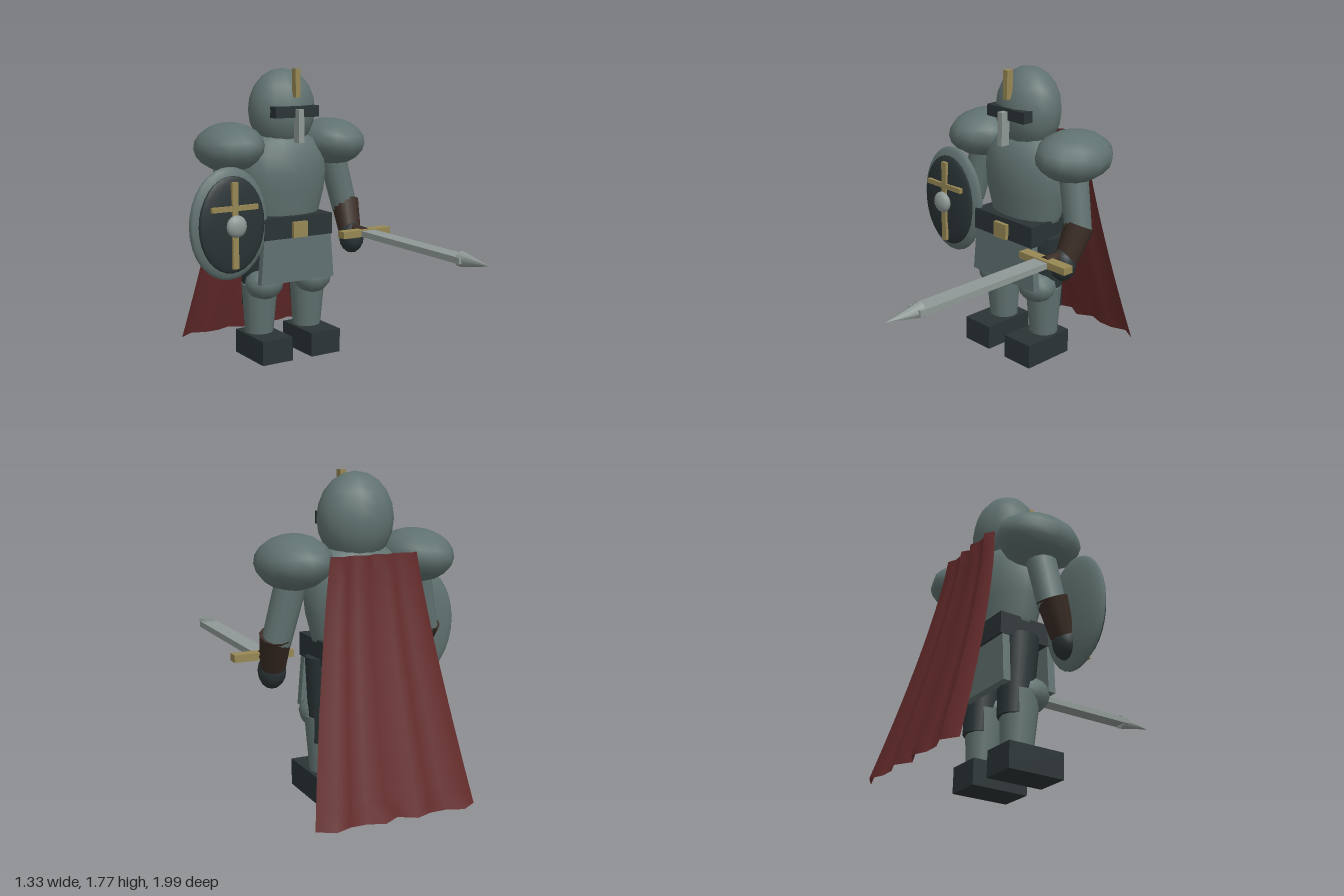
import * as THREE from 'three';

const CX = 0.057; // body centre line
const CZ = -0.435; // body centre depth

const mat = (color, side = THREE.FrontSide) => new THREE.MeshStandardMaterial({ color, side });
const steel = mat(0x607270), dark = mat(0x2a3335), gold = mat(0x978754);
const leather = mat(0x3a2c25), blade = mat(0x8f9996), cloth = mat(0x652b2b, THREE.DoubleSide);

export function createModel() {
  const root = new THREE.Group();
  root.name = 'knight';

  const add = (parent, name, geo, material, x = 0, y = 0, z = 0) => {
    const m = new THREE.Mesh(geo, material);
    m.name = name;
    m.position.set(x, y, z);
    parent.add(m);
    return m;
  };
  const box = (w, h, d) => new THREE.BoxGeometry(w, h, d);
  const ball = (rx, ry, rz, ws = 14, hs = 10) => new THREE.SphereGeometry(1, ws, hs).scale(rx, ry, rz);
  // tapered limb between two points
  const limb = (parent, name, a, b, ra, rb, material, sides = 12) => {
    const p = new THREE.Vector3(...a), q = new THREE.Vector3(...b);
    const dir = p.clone().sub(q);
    const mid = p.clone().add(q).multiplyScalar(0.5);
    const m = add(parent, name, new THREE.CylinderGeometry(ra, rb, dir.length(), sides), material, mid.x, mid.y, mid.z);
    m.quaternion.setFromUnitVectors(new THREE.Vector3(0, 1, 0), dir.normalize());
    return m;
  };

  // helmet
  const helmet = new THREE.Group();
  helmet.name = 'helmet';
  root.add(helmet);
  add(helmet, 'helmetDome', ball(0.213, 0.25, 0.18), steel, CX, 1.525, CZ);
  add(helmet, 'visorSlit', box(0.3, 0.068, 0.07), dark, CX, 1.52, -0.28);
  add(helmet, 'noseGuard', box(0.036, 0.2, 0.06), blade, CX, 1.437, -0.232);
  add(helmet, 'crest', box(0.034, 0.17, 0.045), gold, CX, 1.69, -0.263);

  // breastplate
  const profile = [[0, 0.8], [0.23, 0.8], [0.25, 0.9], [0.285, 1.03], [0.298, 1.15], [0.28, 1.26],
    [0.22, 1.34], [0.13, 1.39], [0, 1.4]].map(([r, y]) => new THREE.Vector2(r, y));
  add(root, 'breastplate', new THREE.LatheGeometry(profile, 18).scale(1, 1, 0.645), steel, CX, 0, CZ);

  // belt and buckle
  add(root, 'belt', box(0.482, 0.13, 0.36), dark, CX, 0.825, -0.415);
  add(root, 'buckle', box(0.1, 0.095, 0.04), gold, CX, 0.812, -0.23);

  // skirt plates, slightly wider at the hem
  const plate = new THREE.Shape([[-0.26, 0.485], [0.26, 0.485], [0.237, 0.765], [-0.237, 0.765]]
    .map(([x, y]) => new THREE.Vector2(x, y)));
  const plateGeo = new THREE.ExtrudeGeometry(plate, { depth: 0.045, bevelEnabled: false });
  add(root, 'frontSkirtPlate', plateGeo, steel, CX, 0, -0.29);
  add(root, 'backSkirtPlate', plateGeo, steel, CX, 0, -0.58);

  for (const s of [1, -1]) {
    const side = s > 0 ? 'left' : 'right';
    const X = (d) => CX + s * d;

    // leg
    const leg = new THREE.Group();
    leg.name = side + 'Leg';
    root.add(leg);
    limb(leg, 'thigh', [X(0.174), 0.79, -0.43], [X(0.174), 0.32, -0.45], 0.112, 0.095, dark);
    add(leg, 'kneeGuard', ball(0.122, 0.1, 0.112, 12, 8), steel, X(0.174), 0.468, -0.363);
    limb(leg, 'shin', [X(0.174), 0.46, -0.42], [X(0.174), 0.14, -0.43], 0.113, 0.088, steel);
    add(leg, 'boot', box(0.21, 0.15, 0.345), dark, X(0.174), 0.075, -0.372);

    // arm
    const arm = new THREE.Group();
    arm.name = side + 'Arm';
    root.add(arm);
    const shoulder = add(arm, 'shoulderGuard', ball(0.203, 0.147, 0.253, 12, 10), steel, X(0.363), 1.313, -0.442);
    shoulder.rotation.z = -s * 0.08;
    limb(arm, 'upperArm', [X(0.35), 1.3, -0.44], [X(0.45), 0.88, -0.405], 0.088, 0.08, steel);
    limb(arm, 'bracer', [X(0.453), 0.925, -0.41], [X(0.437), 0.735, -0.325], 0.088, 0.07, leather);
    add(arm, 'hand', ball(0.079, 0.1, 0.078, 12, 8), dark, X(0.433), 0.705, -0.3);
  }

  // sword, pointing forward
  const sword = new THREE.Group();
  sword.name = 'sword';
  sword.position.set(0.487, 0.76, 0);
  root.add(sword);
  limb(sword, 'grip', [0, 0, -0.15], [0, 0, -0.36], 0.034, 0.034, leather, 8);
  add(sword, 'crossGuard', box(0.35, 0.042, 0.068), gold, 0, 0, -0.155);
  add(sword, 'blade', box(0.1, 0.036, 0.92), blade, 0, 0, 0.345);
  add(sword, 'bladeTip', new THREE.ConeGeometry(0.046, 0.23, 8).rotateX(Math.PI / 2), blade, 0, 0, 0.88);

  // shield
  const shield = new THREE.Group();
  shield.name = 'shield';
  shield.position.set(-0.408, 0.883, 0);
  root.add(shield);
  add(shield, 'shieldBody', ball(0.258, 0.337, 0.06, 18, 16), steel, 0, 0, -0.262);
  add(shield, 'shieldFace', ball(0.216, 0.288, 0.035, 18, 16), dark, 0, 0, -0.222);
  add(shield, 'crossUpright', box(0.038, 0.51, 0.022), gold, 0, 0, -0.186);
  add(shield, 'crossBar', box(0.302, 0.03, 0.022), gold, 0, 0.103, -0.186);
  add(shield, 'boss', ball(0.066, 0.066, 0.035, 12, 10), blade, 0, 0, -0.165);

  // cape: a flaring sheet with rippled folds
  const cape = new THREE.PlaneGeometry(1, 1, 10, 12);
  const pos = cape.attributes.position;
  for (let i = 0; i < pos.count; i++) {
    const u = pos.getX(i), t = 0.5 - pos.getY(i);
    const fold = (0.02 + 0.011 * t) * Math.cos(8 * Math.PI * (u + 0.5));
    pos.setXYZ(i, CX + u * (0.5 + 0.43 * t), 1.36 - 1.335 * t, -0.679 - 0.293 * Math.pow(t, 1.35) + fold);
  }
  cape.computeVertexNormals();
  add(root, 'cape', cape, cloth);

  return root;
}
